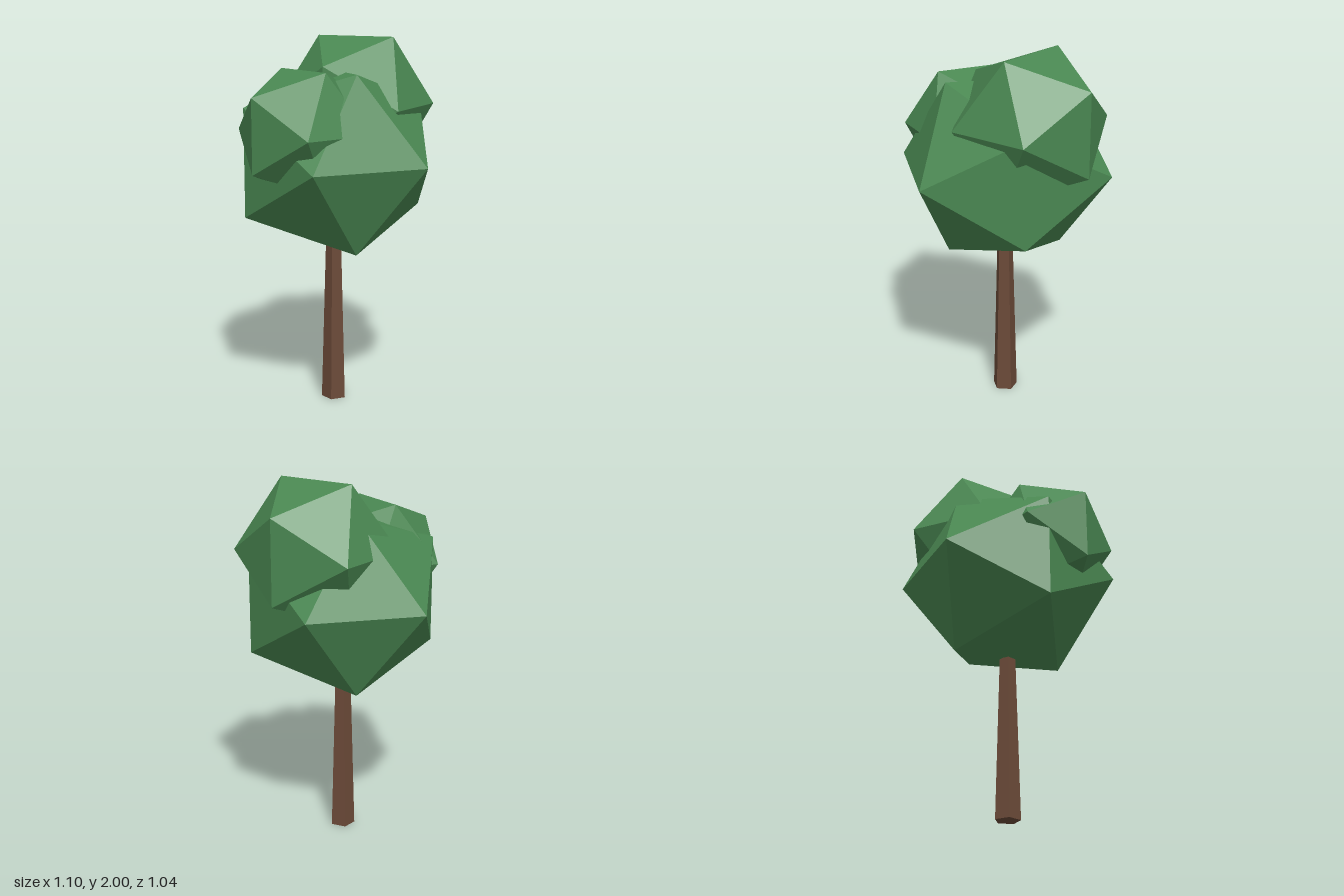
import * as THREE from 'three';

export function createModel() {
  const tree = new THREE.Group();
  tree.name = 'tree';

  const leafGreen = new THREE.MeshStandardMaterial({ color: 0x4a8852, flatShading: true });
  leafGreen.name = 'leaf green';
  const barkBrown = new THREE.MeshStandardMaterial({ color: 0x6b4a38, flatShading: true });
  barkBrown.name = 'bark brown';

  // Tapered five-sided trunk, flat side to the front
  const trunkHeight = 0.895;
  const trunk = new THREE.Mesh(new THREE.CylinderGeometry(0.045, 0.07, trunkHeight, 5), barkBrown);
  trunk.name = 'trunk';
  trunk.rotation.y = Math.PI;
  trunk.position.set(-0.025, trunkHeight / 2, 0.01);
  tree.add(trunk);

  // Foliage clumps: name, radius, centre, turn about y in degrees, height scale
  const clumps = [
    ['mainFoliage', 0.594, [-0.025, 1.36, 0.01], 0, 0.93],
    ['upperLeftFoliage', 0.431, [0.141, 1.634, -0.095], 40, 1],
    ['rightFoliage', 0.373, [-0.248, 1.528, 0.143], 15, 1],
  ];
  for (const [name, radius, centre, turn, squash] of clumps) {
    // Quarter turn so the top edge runs front to back before turning
    const geometry = new THREE.IcosahedronGeometry(radius, 0).rotateY(Math.PI / 2);
    const clump = new THREE.Mesh(geometry, leafGreen);
    clump.name = name;
    clump.scale.y = squash;
    clump.rotation.y = THREE.MathUtils.degToRad(turn);
    clump.position.set(...centre);
    tree.add(clump);
  }

  return tree;
}
